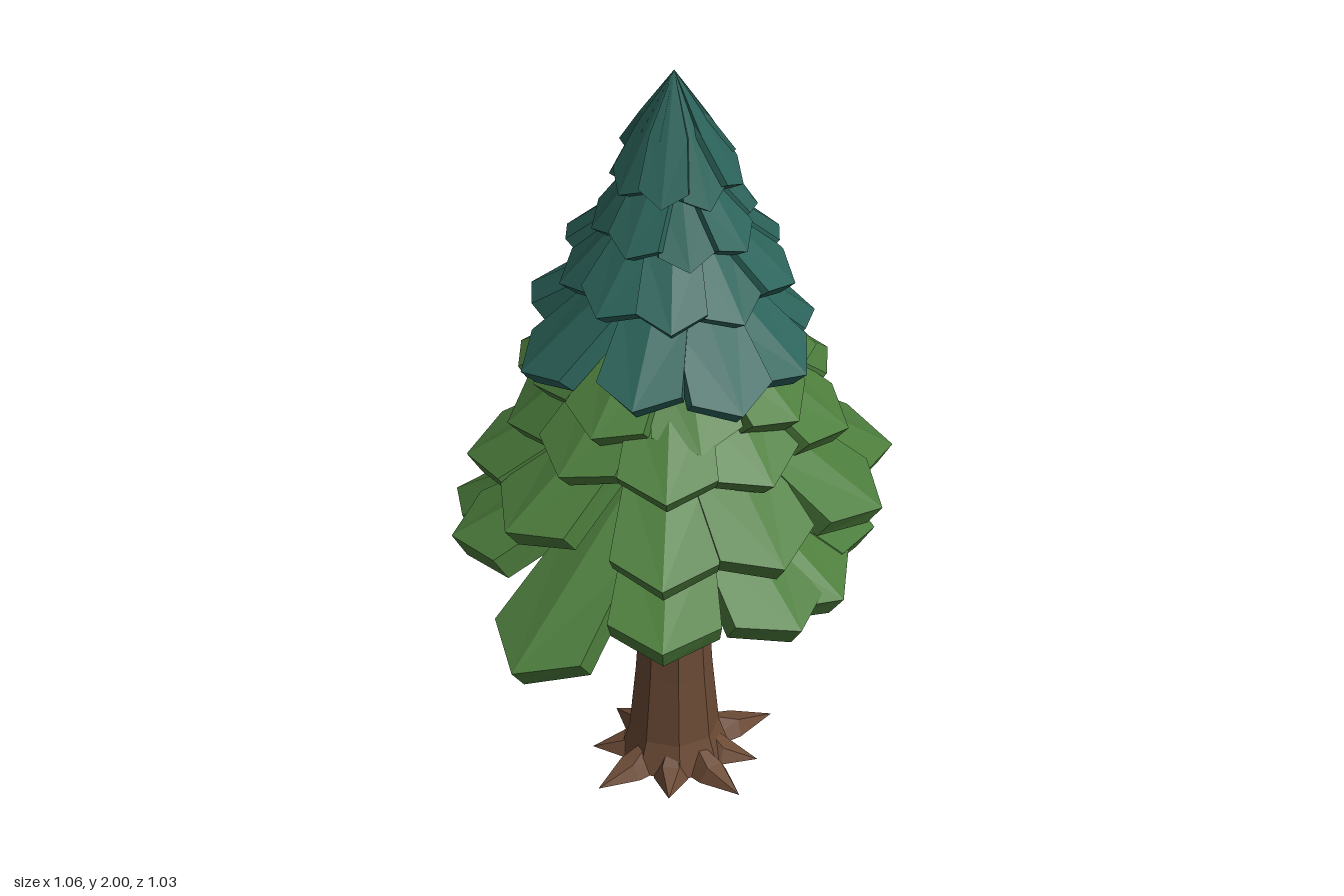
import * as THREE from 'three';

const CX = 0.02, CZ = 0.02; // trunk axis

const mat = (name, color) => Object.assign(new THREE.MeshStandardMaterial({ color, flatShading: true }), { name });

// Flat-shaded solid from corner points and triangle indices
function solid(points, faces) {
  const g = new THREE.BufferGeometry();
  g.setAttribute('position', new THREE.Float32BufferAttribute(points.flat(), 3));
  g.setIndex(faces);
  const flat = g.toNonIndexed();
  flat.computeVertexNormals();
  return flat;
}

// Ridged five-sided slab running out along +x from the axis, tip at (r, y)
function boughGeometry(r, tipY, topY, width, thick) {
  const drop = tipY - topY, len = Math.hypot(r, drop);
  const nx = (drop / len) * thick, ny = (-r / len) * thick; // inward offset
  const at = (t) => topY + drop * t;
  const h = width / 2, sag = width * 0.11;
  const top = [
    [0, topY, 0],
    [r * 0.45, at(0.45) - sag, h * 0.76],
    [r * 0.84, at(0.84) - sag, h],
    [r, tipY, 0],
    [r * 0.84, at(0.84) - sag, -h],
    [r * 0.45, at(0.45) - sag, -h * 0.76],
  ];
  const bottom = top.map(([x, y, z]) => [x + nx, y + ny, z * 0.95]);
  bottom[0] = [0, topY - thick * 2, 0];
  const faces = [0, 1, 3, 1, 2, 3, 0, 3, 5, 3, 4, 5, 6, 9, 7, 7, 9, 8, 6, 11, 9, 9, 11, 10];
  for (let i = 0; i < 6; i++) {
    const j = (i + 1) % 6;
    faces.push(i, i + 6, j, j, i + 6, j + 6);
  }
  return solid([...top, ...bottom], faces);
}

// Root spike lying on the ground along +x
function rootGeometry(r, h, w) {
  return solid(
    [[0, 0, w], [0, 0, -w], [0.06, h, 0], [r * 0.62, 0.035, w * 0.4], [r * 0.62, 0.035, -w * 0.4],
      [r, 0.002, 0], [r * 0.6, 0, w * 0.8], [r * 0.6, 0, -w * 0.8]],
    [2, 0, 3, 0, 6, 3, 2, 3, 4, 2, 4, 1, 1, 4, 7, 3, 6, 5, 3, 5, 4, 4, 5, 7,
      0, 1, 7, 0, 7, 6, 6, 7, 5, 0, 2, 1]);
}

// Evenly spread tips with a small ripple in reach and height
function ring(n, r, y, start) {
  return Array.from({ length: n }, (_, i) => {
    const a = start + (i / n) * Math.PI * 2;
    const q = r * (1 + 0.05 * Math.sin(i * 2.4));
    return [CX + q * Math.cos(a), CZ + q * Math.sin(a), y + 0.02 * Math.cos(i * 1.9)];
  });
}

export function createModel() {
  const model = new THREE.Group();
  model.name = 'pineTree';
  const bark = mat('bark brown', 0x6b4a35);
  const green = mat('leaf green', 0x4d7e3d);
  const teal = mat('deep teal', 0x2c645b);

  // Trunk: eight-sided, flaring at the foot
  const trunkProfile = [[0, 0], [0.13, 0], [0.105, 0.08], [0.09, 0.25], [0.07, 0.62], [0.045, 1.3], [0, 1.3]];
  const trunk = new THREE.Mesh(
    new THREE.LatheGeometry(trunkProfile.map(([x, y]) => new THREE.Vector2(x, y)), 8), bark);
  trunk.name = 'trunk';
  trunk.position.set(CX, 0, CZ);
  trunk.rotation.y = 0.3;
  model.add(trunk);

  // Roots: [angle in degrees, reach]
  const roots = new THREE.Group();
  roots.name = 'roots';
  [[5, 0.26], [48, 0.2], [85, 0.24], [128, 0.2], [172, 0.24], [215, 0.19], [262, 0.2], [312, 0.21]]
    .forEach(([deg, r], i) => {
      const root = new THREE.Mesh(rootGeometry(r, 0.075 + 0.02 * (i % 2), 0.05), bark);
      root.name = 'root';
      root.position.set(CX, 0, CZ);
      root.rotation.y = -THREE.MathUtils.degToRad(deg);
      roots.add(root);
    });
  model.add(roots);

  // Tiers of boughs; tips are [x, z, y of the tip's lower edge]
  const tiers = [
    { name: 'lowestBoughs', m: green, top: 0.99, w: 0.27, t: 0.07, tips: [
      [-0.23, -0.515, 0.48], [0.525, -0.22, 0.5], [0.475, 0.11, 0.61], [0.41, 0.28, 0.59], [0.2, 0.46, 0.58],
      [0.05, 0.505, 0.58], [-0.3, 0.44, 0.62], [-0.53, 0.15, 0.48], [-0.44, -0.23, 0.61], [0.245, -0.405, 0.62]] },
    { name: 'lowerBoughs', m: green, top: 1.2, w: 0.26, t: 0.065, tips: [
      [0.495, 0.23, 0.77], [0.33, 0.43, 0.78], [0, 0.51, 0.79], [-0.28, 0.41, 0.78], [-0.46, 0.02, 0.79],
      [-0.37, -0.27, 0.8], [-0.08, -0.41, 0.79], [0.19, -0.39, 0.8], [0.42, -0.16, 0.8]] },
    { name: 'middleBoughs', m: green, top: 1.37, w: 0.24, t: 0.06, tips: ring(9, 0.405, 0.97, 0.12) },
    { name: 'innerBoughs', m: green, top: 1.45, w: 0.22, t: 0.06, tips: ring(8, 0.34, 1.07, 0.4) },
    { name: 'upperMiddleBoughs', m: teal, top: 1.55, w: 0.21, t: 0.055, tips: [
      [-0.145, -0.33, 1.18], [0.04, -0.35, 1.13], [0.3, -0.16, 1.16], [0.35, 0.12, 1.17], [0.185, 0.33, 1.18],
      [-0.03, 0.38, 1.18], [-0.25, 0.24, 1.2], [-0.34, -0.09, 1.15], [0.17, -0.26, 1.2]] },
    { name: 'upperBoughs', m: teal, top: 1.73, w: 0.17, t: 0.05, tips: ring(9, 0.28, 1.38, 0.1) },
    { name: 'highBoughs', m: teal, top: 1.85, w: 0.14, t: 0.045, tips: ring(8, 0.2, 1.52, 0.4) },
    { name: 'crownBoughs', m: teal, top: 2, w: 0.12, t: 0.04, tips: ring(8, 0.16, 1.66, 0) },
  ];
  for (const { name, m, top, w, t, tips } of tiers) {
    const tier = new THREE.Group();
    tier.name = name;
    for (const [x, z, y] of tips) {
      const r = Math.hypot(x - CX, z - CZ);
      const bough = new THREE.Mesh(boughGeometry(r, y + t * 0.8, top, w, t), m);
      bough.name = 'bough';
      bough.position.set(CX, 0, CZ);
      bough.rotation.y = -Math.atan2(z - CZ, x - CX);
      tier.add(bough);
    }
    model.add(tier);
  }
  return model;
}
